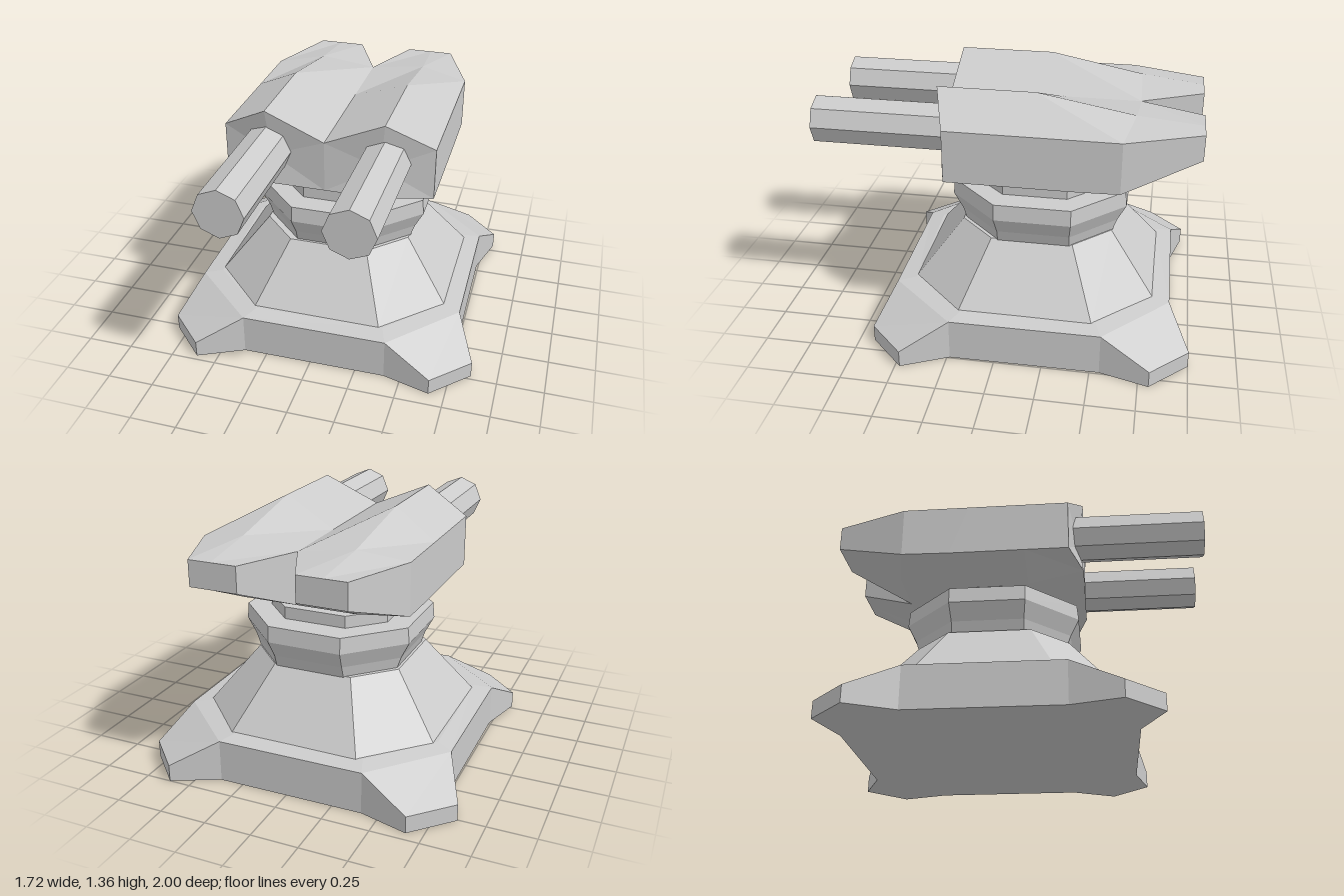
import * as THREE from 'three';

const material = new THREE.MeshStandardMaterial({ color: 0xcccccc, flatShading: true });

// Closed, capped surface through rings of [x, y, z] points
function loft(rings) {
  const pos = [];
  const tri = (a, b, c) => {
    const n = new THREE.Vector3().subVectors(b, a).cross(new THREE.Vector3().subVectors(c, a));
    if (n.length() > 1e-8) pos.push(...a.toArray(), ...b.toArray(), ...c.toArray());
  };
  const vs = rings.map(r => r.map(p => new THREE.Vector3(...p)));
  const n = vs[0].length;
  for (let i = 0; i < vs.length - 1; i++) {
    for (let j = 0; j < n; j++) {
      const k = (j + 1) % n;
      const a = vs[i][j], b = vs[i][k], c = vs[i + 1][k], d = vs[i + 1][j];
      tri(a, b, c);
      tri(a, c, d);
    }
  }
  const cap = (ring, flip) => {
    const mid = ring.reduce((s, p) => s.add(p), new THREE.Vector3()).divideScalar(n);
    ring.forEach((p, j) => {
      const q = ring[(j + 1) % n];
      flip ? tri(mid, q, p) : tri(mid, p, q);
    });
  };
  cap(vs[0], true);
  cap(vs[vs.length - 1], false);
  const g = new THREE.BufferGeometry();
  g.setAttribute('position', new THREE.Float32BufferAttribute(pos, 3));
  g.computeVertexNormals();
  return g;
}

// Repeat one corner's points around the four quadrants
function fourCorners(corner) {
  const ring = [];
  let pts = corner;
  for (let q = 0; q < 4; q++) {
    ring.push(...pts);
    pts = pts.map(([x, y, z]) => [z, y, -x]);
  }
  return ring;
}

// Octagonal ring: half width a, half length b of the straight sides
const octagon = (y, a, b) => fourCorners([[a, y, -b], [b, y, -a]]);

export function createModel() {
  const group = new THREE.Group();
  const add = (name, geometry, x = 0, y = 0, z = 0) => {
    const mesh = new THREE.Mesh(geometry, material);
    mesh.name = name;
    mesh.position.set(x, y, z);
    group.add(mesh);
    return mesh;
  };
  const baseZ = -0.14, cx = 0.016;

  // Base plate with four splayed feet
  const foot = (y0, y1) => fourCorners([
    [0.74, y0, -0.41], [0.81, y1, -0.665], [0.615, y1, -0.86], [0.375, y0, -0.745]]);
  const rim = (y, a, b, c, d) => fourCorners([[a, y, -b], [a, y, -b], [c, y, -d], [c, y, -d]]);
  add('basePlate', loft([
    foot(0, 0), foot(0.225, 0.09),
    rim(0.225, 0.74, 0.41, 0.375, 0.745),
    rim(0.24, 0.64, 0.375, 0.33, 0.66),
  ]), 0, 0, baseZ);

  // Tapered pedestal
  add('pedestal', loft([octagon(0.235, 0.65, 0.35), octagon(0.55, 0.405, 0.215)]), 0.005, 0, baseZ - 0.005);

  // Flared collar, turntable disc and neck
  add('collar', loft([
    octagon(0.545, 0.4, 0.19), octagon(0.61, 0.422, 0.19),
    octagon(0.7, 0.468, 0.2), octagon(0.785, 0.46, 0.2),
  ]), cx, 0, baseZ - 0.015);
  add('turntableDisc', loft([octagon(0.78, 0.335, 0.17), octagon(0.85, 0.335, 0.17)]), cx, 0, -0.15);
  add('neck', loft([octagon(0.84, 0.3, 0.12), octagon(0.89, 0.3, 0.12)])
    .scale(1, 1, 0.68), cx, 0, -0.15);

  // Twin-ridged housing: half sections from back to front
  // (bottom inner, bottom outer, side low, side high, ridge, valley)
  const half = [
    [[0.15, 1.09, -0.985], [0.28, 1.09, -0.985], [0.405, 1.09, -0.985],
      [0.405, 1.225, -0.985], [0.285, 1.225, -0.985], [0.15, 1.225, -0.985]],
    [[0, 0.945, -0.66], [0.3, 0.945, -0.66], [0.555, 0.95, -0.6],
      [0.555, 1.22, -0.6], [0.3, 1.262, -0.65], [0, 1.22, -0.66]],
    [[0, 0.873, -0.35], [0.31, 0.873, -0.35], [0.555, 0.945, -0.35],
      [0.555, 1.22, -0.25], [0.31, 1.355, -0.15], [0, 1.22, -0.25]],
    [[0, 0.873, 0.05], [0.31, 0.873, 0.05], [0.555, 0.945, 0.05],
      [0.555, 1.22, 0.05], [0.31, 1.355, 0.05], [0, 1.22, 0.05]],
    [[0, 0.945, 0.35], [0.3, 0.945, 0.35], [0.555, 0.945, 0.28],
      [0.555, 1.22, 0.28], [0.31, 1.355, 0.355], [0, 1.22, 0.355]],
  ];
  const mirrored = half.map(r => r.map(([x, y, z]) => [-x, y, z]).reverse());
  add('leftHousing', loft(half), cx, 0, 0);
  add('rightHousing', loft(mirrored), cx, 0, 0);

  // Octagonal barrels
  const barrel = new THREE.CylinderGeometry(0.128, 0.128, 0.8, 8).rotateX(Math.PI / 2);
  for (const [name, side] of [['leftBarrel', 1], ['rightBarrel', -1]]) {
    add(name, barrel, cx + side * 0.308, 1.135, 0.6);
  }
  return group;
}
